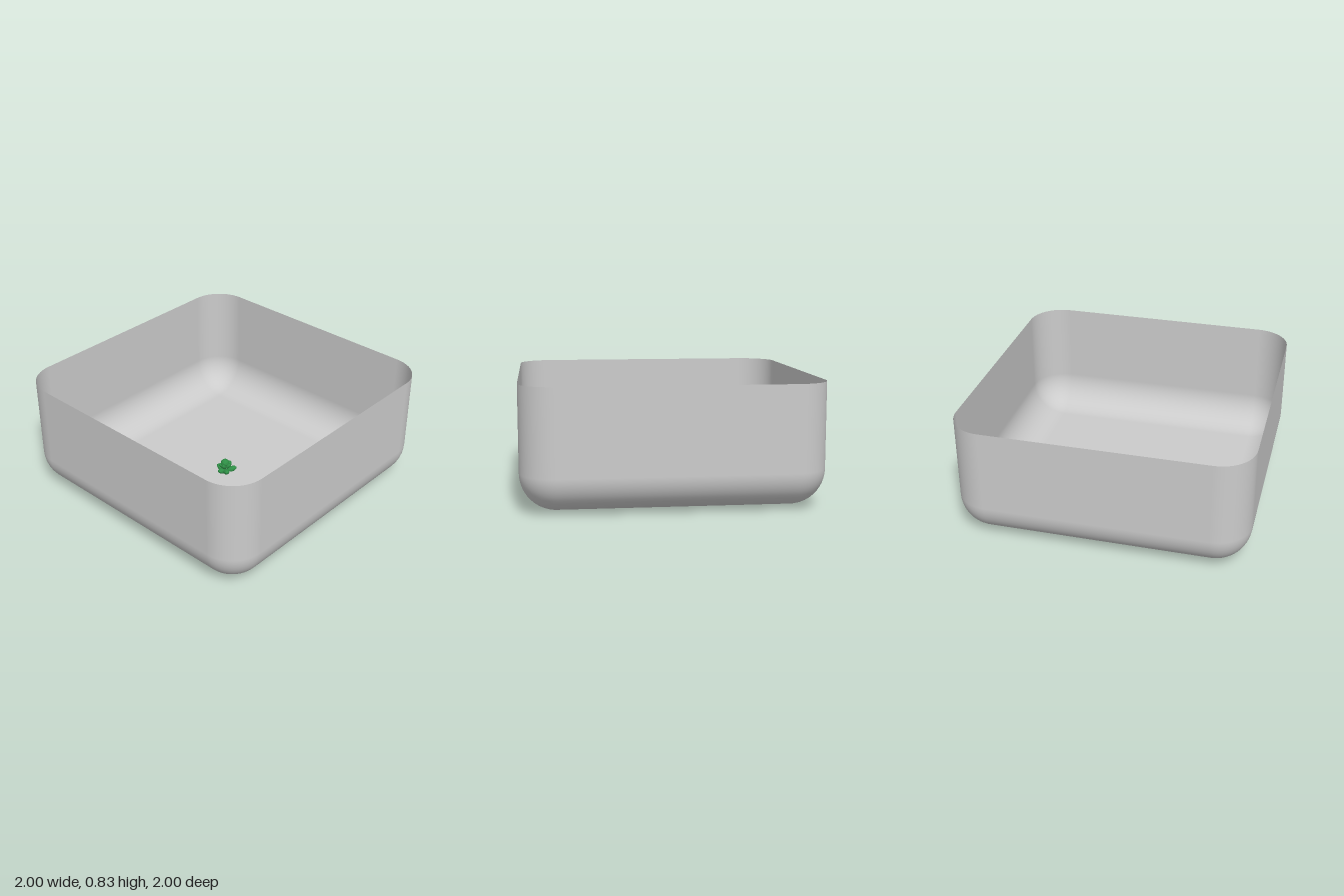
import * as THREE from 'three';

const RADIUS = 0.24, FLOOR = 0.02, RIM = 0.835, STEPS = 12;

// Open shell: rounded-square rings from the rim down the wall, round the fillet and in to the centre
function basinGeometry() {
  const rings = [{ y: RIM, a: 0 }];
  for (let i = 0; i <= STEPS; i++) {
    const a = (i / STEPS) * Math.PI / 2;
    rings.push({ y: FLOOR + RADIUS * (1 - Math.sin(a)), a });
  }
  rings.push({ y: FLOOR, a: Math.PI / 2, centre: true });

  const position = [], normal = [], index = [];
  const perRing = 4 * (STEPS + 1);
  for (const { y, a, centre } of rings) {
    for (let q = 0; q < 4; q++) {
      const sx = q === 0 || q === 3 ? 1 : -1, sz = q < 2 ? 1 : -1;
      const inset = centre ? 0 : 1 - RADIUS;
      for (let s = 0; s <= STEPS; s++) {
        const t = (q + s / STEPS) * Math.PI / 2;
        const nx = Math.cos(a) * Math.cos(t), nz = Math.cos(a) * Math.sin(t);
        position.push(sx * inset + RADIUS * nx, y, sz * inset + RADIUS * nz);
        normal.push(nx, -Math.sin(a), nz);
      }
    }
  }
  for (let i = 0; i < rings.length - 1; i++) {
    for (let j = 0; j < perRing; j++) {
      const k = (j + 1) % perRing;
      const a = i * perRing + j, b = i * perRing + k;
      index.push(a, b, a + perRing, b, b + perRing, a + perRing);
    }
  }
  const geometry = new THREE.BufferGeometry();
  geometry.setAttribute('position', new THREE.Float32BufferAttribute(position, 3));
  geometry.setAttribute('normal', new THREE.Float32BufferAttribute(normal, 3));
  geometry.setIndex(index);
  return geometry;
}

// Faceted leaf pointing outwards from the heart, tilted upwards
function leaf(name, angle, reach, y, tilt, size, material) {
  const geometry = new THREE.IcosahedronGeometry(1, 1);
  geometry.scale(size, size * 0.48, size * 0.55);
  geometry.rotateZ(tilt);
  geometry.translate(reach, y, 0);
  geometry.rotateY(-angle);
  const mesh = new THREE.Mesh(geometry, material);
  mesh.name = name;
  return mesh;
}

export function createModel() {
  const model = new THREE.Group();
  model.name = 'basinWithPlant';

  const basin = new THREE.Mesh(basinGeometry(),
    new THREE.MeshStandardMaterial({ color: 0xcccccc, side: THREE.DoubleSide }));
  basin.name = 'basin';
  model.add(basin);

  // Small leafy rosette in the middle of the floor
  const green = new THREE.MeshStandardMaterial({ color: 0x2f8f46, flatShading: true });
  const plant = new THREE.Group();
  plant.name = 'plant';
  const tips = [[-0.03, -0.09], [0.06, -0.06], [0.06, 0.04], [0, 0.07], [-0.07, 0.01]];
  tips.forEach(([x, z], i) => {
    const angle = Math.atan2(z, x), reach = Math.hypot(x, z);
    plant.add(leaf('outerLeaf' + i, angle, reach - 0.038, 0.029, 0.4, 0.042, green));
    plant.add(leaf('innerLeaf' + i, angle + 0.6, 0.022, 0.062, 0.8, 0.032, green));
  });
  const heart = new THREE.Mesh(new THREE.IcosahedronGeometry(0.032, 1), green);
  heart.name = 'heart';
  heart.position.y = 0.085;
  plant.add(heart);
  model.add(plant);

  return model;
}
